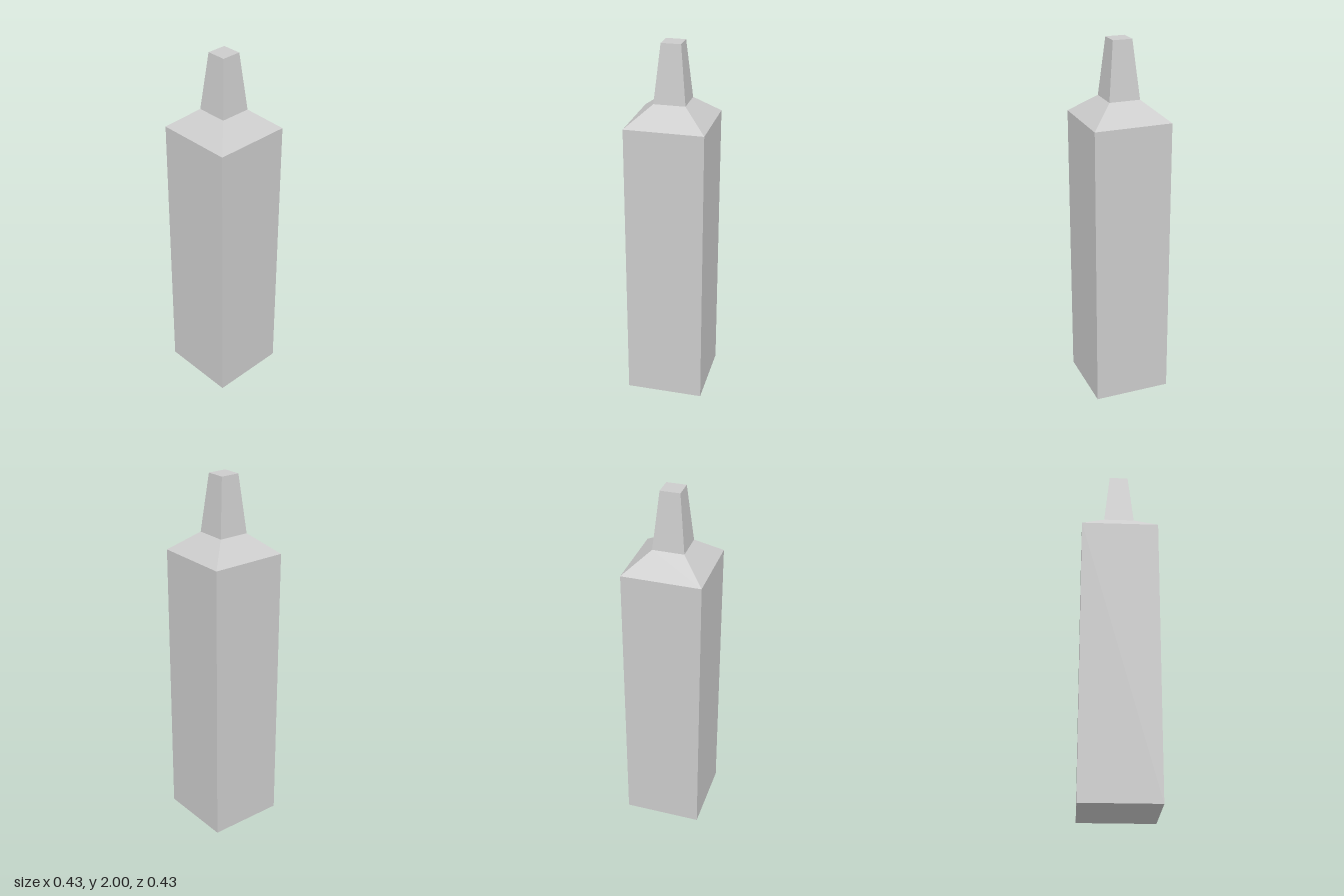
import * as THREE from 'three';

const material = new THREE.MeshStandardMaterial({ color: 0xcccccc, flatShading: true });

// Square section turned from a profile of [half width, height] pairs, bottom to top
function squarePart(name, profile) {
  const points = profile.map(([half, y]) => new THREE.Vector2(half * Math.SQRT2, y));
  const mesh = new THREE.Mesh(new THREE.LatheGeometry(points, 4, Math.PI / 4), material);
  mesh.name = name;
  return mesh;
}

export function createModel() {
  const bodyHalf = 0.213, neckHalf = 0.085, tipHalf = 0.053;
  const shoulderY = 1.583, neckY = 1.688, tipY = 2;

  const model = new THREE.Group();
  model.name = 'squeezeBottle';
  model.add(
    // tall square body, closed underneath
    squarePart('body', [[0, 0], [bodyHalf, 0], [bodyHalf, shoulderY]]),
    // sloped shoulder up to the neck
    squarePart('shoulder', [[bodyHalf, shoulderY], [neckHalf, neckY]]),
    // tapered nozzle with a flat tip
    squarePart('nozzle', [[neckHalf, neckY], [tipHalf, tipY], [0, tipY]])
  );
  return model;
}
